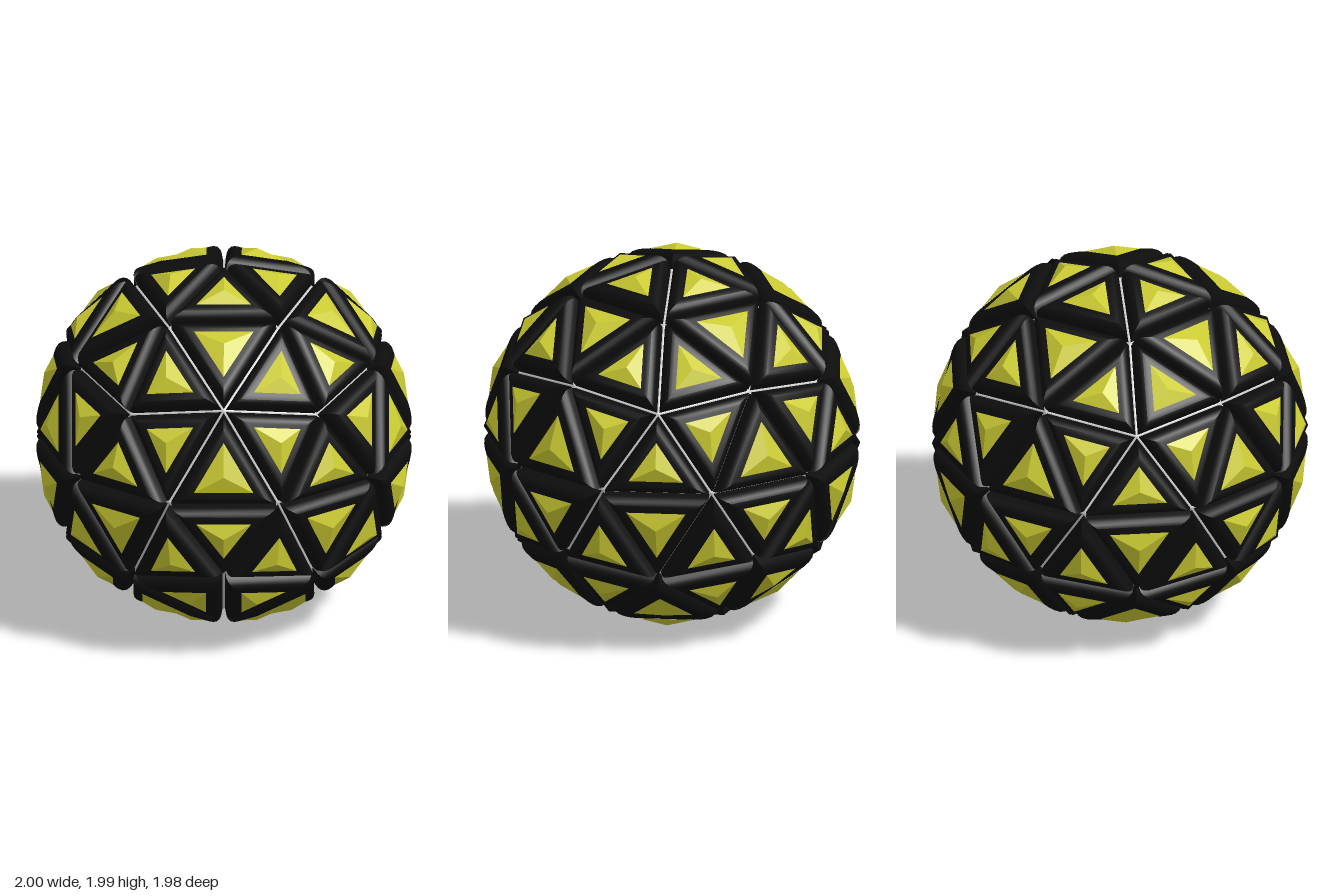
import * as THREE from 'three';
import { toCreasedNormals } from 'three/addons/utils/BufferGeometryUtils.js';

const R = 0.93;          // radius of the seam corners
const CENTRE_Y = 0.99;
const STUD_INSET = 0.075;
const STUD_HEIGHT = 0.135;
// tile edge profile: [inset from the seam, height above the core]
const PROFILE = [[0.006, -0.01], [0.006, 0.045], [0.011, 0.064], [0.022, 0.081], [0.038, 0.092], [0.056, 0.098], [STUD_INSET, 0.1]];

// point on the sphere from height ratio and azimuth in degrees
function onSphere(y, azimuth) {
  const a = THREE.MathUtils.degToRad(azimuth), r = Math.sqrt(1 - y * y);
  return new THREE.Vector3(r * Math.cos(a), y, r * Math.sin(a)).multiplyScalar(R);
}

// the 20 faces of an icosahedron standing on a corner
function icosahedronFaces() {
  const k = 1 / Math.sqrt(5), top = onSphere(1, 0), bottom = onSphere(-1, 0), faces = [];
  for (let i = 0; i < 5; i++) {
    const u0 = onSphere(k, 72 * i), u1 = onSphere(k, 72 * i + 72);
    const l0 = onSphere(-k, 72 * i + 36), l1 = onSphere(-k, 72 * i + 108);
    faces.push([top, u0, u1], [u0, u1, l0], [u1, l0, l1], [bottom, l0, l1]);
  }
  return faces;
}

// each face split in four, corners pushed out to the sphere, wound outwards
function panels() {
  const mid = (a, b) => a.clone().add(b).setLength(R);
  const list = [];
  for (const [a, b, c] of icosahedronFaces()) {
    const ab = mid(a, b), bc = mid(b, c), ca = mid(c, a);
    list.push([a, ab, ca], [b, bc, ab], [c, ca, bc], [ab, bc, ca]);
  }
  return list.map(([a, b, c]) => {
    const n = b.clone().sub(a).cross(c.clone().sub(a));
    return n.dot(a) > 0 ? [a, b, c] : [a, c, b];
  });
}

// returns a function giving a panel's outline at a given inset and height, plus its middle
function panelFrame([a, b, c]) {
  const la = b.distanceTo(c), lb = c.distanceTo(a), lc = a.distanceTo(b), sum = la + lb + lc;
  const centre = new THREE.Vector3().addScaledVector(a, la / sum).addScaledVector(b, lb / sum).addScaledVector(c, lc / sum);
  const cross = b.clone().sub(a).cross(c.clone().sub(a));
  const inradius = cross.length() / sum;
  const normal = cross.normalize();
  return {
    ring: (inset, height) => [a, b, c].map((p) =>
      centre.clone().lerp(p, 1 - inset / inradius).addScaledVector(normal, height)),
    middle: (height) => centre.clone().addScaledVector(normal, height),
  };
}

function geometryFrom(points) {
  const g = new THREE.BufferGeometry().setFromPoints(points);
  g.computeVertexNormals();
  return g;
}

export function createModel() {
  const group = new THREE.Group();
  const core = [], tiles = [], studs = [];

  for (const panel of panels()) {
    core.push(...panel);
    const frame = panelFrame(panel);

    // rounded tile wall, ring by ring, closed with a flat top
    const rings = PROFILE.map(([inset, height]) => frame.ring(inset, height));
    for (let k = 0; k + 1 < rings.length; k++) {
      for (let i = 0; i < 3; i++) {
        const j = (i + 1) % 3, lo = rings[k], hi = rings[k + 1];
        tiles.push(lo[i], lo[j], hi[j], lo[i], hi[j], hi[i]);
      }
    }
    const rim = rings[rings.length - 1];
    tiles.push(...rim);

    // low pyramid stud on the tile
    const base = frame.ring(STUD_INSET, 0.101), apex = frame.middle(STUD_HEIGHT);
    for (let i = 0; i < 3; i++) studs.push(base[i], base[(i + 1) % 3], apex);
  }

  const add = (name, geometry, color, flatShading) => {
    const mesh = new THREE.Mesh(geometry, new THREE.MeshStandardMaterial({ color, flatShading }));
    mesh.name = name;
    mesh.position.y = CENTRE_Y;
    group.add(mesh);
  };
  add('seamCore', geometryFrom(core), 0xcccccc, true);
  add('roundedTiles', toCreasedNormals(geometryFrom(tiles), 0.6), 0x0d0d0d, false);
  add('pyramidStuds', geometryFrom(studs), 0xcccc33, true);
  return group;
}
